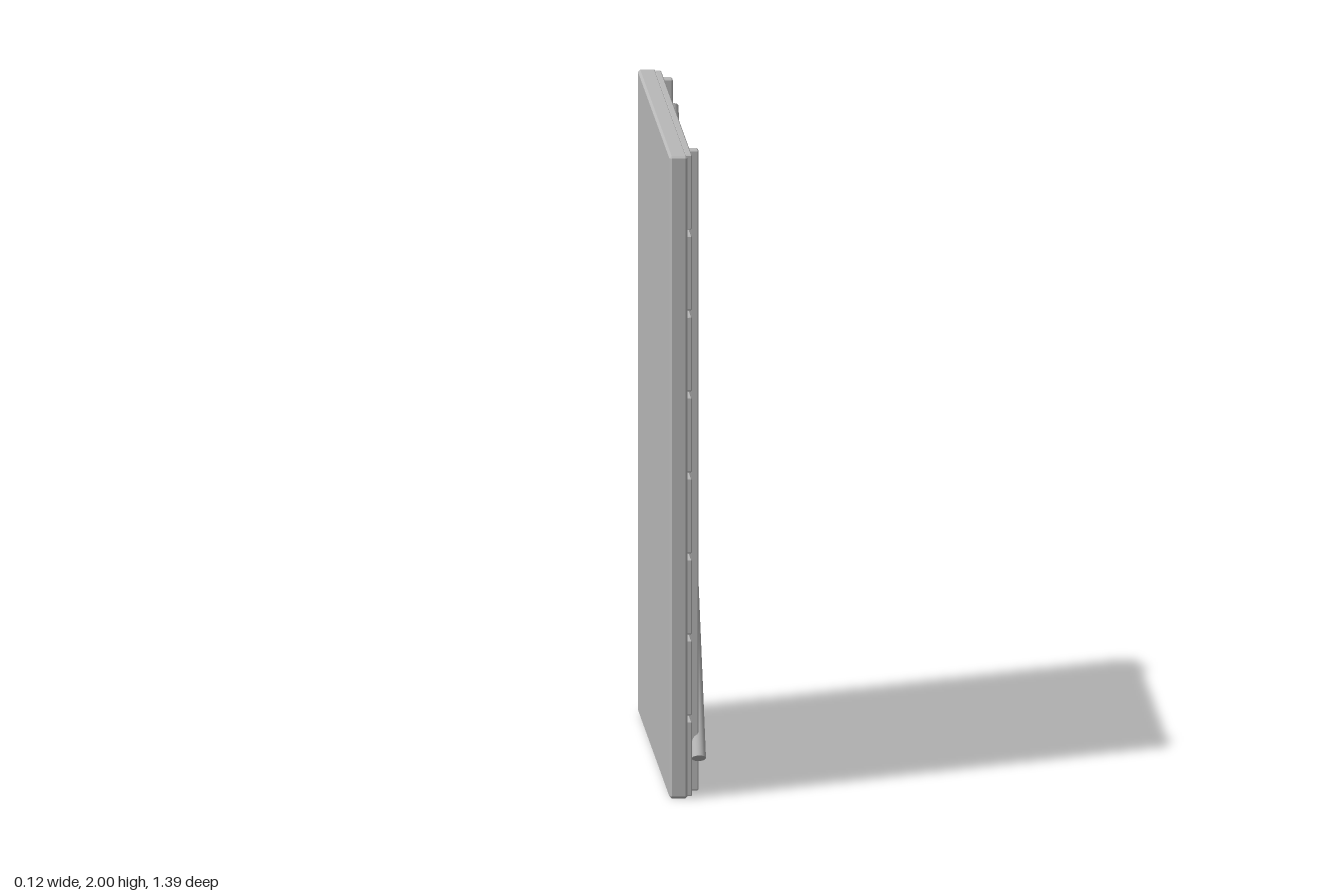
import * as THREE from 'three';
import { ConvexGeometry } from 'three/addons/geometries/ConvexGeometry.js';

// Box with flat chamfered edges, given by its lower and upper corners
function chamferBox(min, max, c) {
  const points = [];
  const size = min.map((v, i) => (max[i] - v) / 2);
  for (const sx of [-1, 1]) for (const sy of [-1, 1]) for (const sz of [-1, 1]) {
    for (let full = 0; full < 3; full++) {
      const p = [sx, sy, sz].map((s, i) => s * (size[i] - (i === full ? 0 : c)));
      points.push(new THREE.Vector3(...p));
    }
  }
  const geometry = new ConvexGeometry(points);
  geometry.translate(...min.map((v, i) => (v + max[i]) / 2));
  return geometry;
}

export function createModel() {
  const group = new THREE.Group();
  group.name = 'plankPanel';
  const grey = new THREE.MeshStandardMaterial({ color: 0xb8b8b8 });
  grey.name = 'plain grey';

  const add = (name, geometry) => {
    const mesh = new THREE.Mesh(geometry, grey);
    mesh.name = name;
    group.add(mesh);
    return mesh;
  };

  // Thick backing slab
  add('backPanel', chamferBox([-0.061, 0, -0.695], [-0.005, 2, 0.695], 0.007));

  // Eight horizontal planks with narrow gaps
  const pitch = 0.252, height = 0.233;
  for (let i = 0; i < 8; i++) {
    const y = 0.003 + i * pitch;
    add('plank' + (i + 1), chamferBox([-0.012, y, -0.673], [0.009, y + height, 0.673], 0.003));
  }

  // Two upright battens
  for (const side of [-1, 1]) {
    const z = side * 0.564;
    add(side > 0 ? 'frontBatten' : 'backBatten',
      chamferBox([0.004, 0.003, z - 0.02], [0.036, 1.997, z + 0.02], 0.004));
  }

  // Round diagonal brace
  const low = new THREE.Vector3(0.035, 0.108, 0.605);
  const high = new THREE.Vector3(0.035, 1.903, -0.603);
  const along = high.clone().sub(low);
  const brace = add('diagonalBrace', new THREE.CylinderGeometry(0.022, 0.022, along.length(), 24));
  brace.position.copy(low).add(high).multiplyScalar(0.5);
  brace.quaternion.setFromUnitVectors(new THREE.Vector3(0, 1, 0), along.normalize());

  return group;
}
